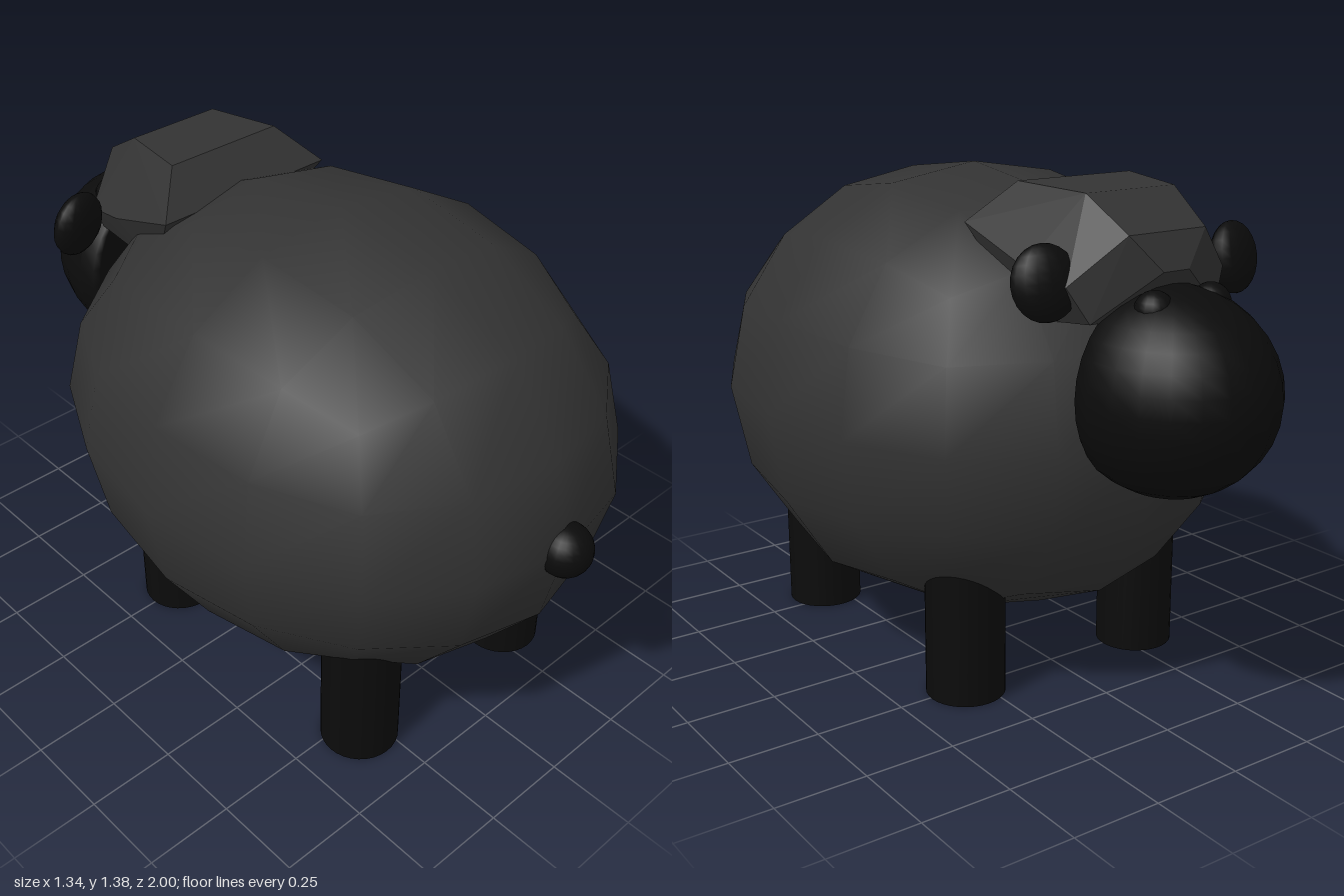
import * as THREE from 'three';
import { mergeVertices } from 'three/addons/utils/BufferGeometryUtils.js';
import { ConvexGeometry } from 'three/addons/geometries/ConvexGeometry.js';

const wool = new THREE.MeshStandardMaterial({ color: 0x333333 });
const woolFlat = new THREE.MeshStandardMaterial({ color: 0x333333, flatShading: true });
const skin = new THREE.MeshStandardMaterial({ color: 0x0b0b0b });

// Twice-subdivided cube: each grid level (0, 1, 2) from a face centre maps to a smoothed offset
const SMOOTH = {
  '002': [0, 0, 1],
  '012': [0, 0.399, 0.933],
  '022': [0, 0, 0.732],
  '112': [0, 0.371, 0.87],
  '122': [0, 0.344, 0.682],
  '222': [0, 0, 0.58],
};

function roundedCube() {
  let geo = new THREE.BoxGeometry(4, 4, 4, 4, 4, 4);
  geo.deleteAttribute('uv');
  geo.deleteAttribute('normal');
  geo = mergeVertices(geo);
  const pos = geo.attributes.position;
  for (let i = 0; i < pos.count; i++) {
    const p = [pos.getX(i), pos.getY(i), pos.getZ(i)].map(Math.round);
    const offsets = SMOOTH[p.map(Math.abs).sort().join('')];
    pos.setXYZ(i, ...p.map((v) => Math.sign(v) * offsets[Math.abs(v)]));
  }
  return geo;
}

function add(group, name, geo, mat, x, y, z) {
  const mesh = new THREE.Mesh(geo, mat);
  mesh.name = name;
  mesh.position.set(x, y, z);
  group.add(mesh);
  return mesh;
}

export function createModel() {
  const model = new THREE.Group();
  model.name = 'sheep';

  // Woolly body
  const bodyGeo = roundedCube().scale(0.67, 0.63, 0.81);
  bodyGeo.computeVertexNormals();
  add(model, 'body', bodyGeo, wool, 0, 0.75, 0.13);

  // Faceted tuft of wool above the face
  const half = [
    [0.28, 1.28, -0.24], [0.18, 1.385, -0.33], [0.14, 1.375, -0.55],
    [0.27, 1.2, -0.48], [0.25, 1.17, -0.62], [0.12, 1.29, -0.69],
    [0.04, 1.2, -0.725], [0.2, 1.08, -0.65], [0.2, 1.05, -0.4],
  ];
  const tuftPoints = half.flatMap(([x, y, z]) =>
    [new THREE.Vector3(x, y, z), new THREE.Vector3(-x, y, z)]);
  add(model, 'tuft', new ConvexGeometry(tuftPoints), woolFlat, 0, 0, 0);

  // Head: ellipsoid with its back pressed flat
  const headGeo = new THREE.SphereGeometry(1, 24, 16).scale(0.258, 0.265, 0.3);
  const hp = headGeo.attributes.position;
  for (let i = 0; i < hp.count; i++) hp.setZ(i, Math.min(hp.getZ(i), 0.055));
  headGeo.computeVertexNormals();
  add(model, 'head', headGeo, skin, -0.01, 0.9, -0.7);

  // Eyes and ears
  for (const side of [-1, 1]) {
    add(model, 'eye', new THREE.SphereGeometry(0.05, 16, 12), skin, side * 0.09 - 0.01, 1.115, -0.74);
    const ear = add(model, 'ear', new THREE.SphereGeometry(1, 16, 12), skin,
      side * 0.305 - 0.035, 1.175, -0.565);
    ear.scale.set(0.088, 0.095, 0.047);
    ear.rotation.set(0.18, -side * 0.25, 0);
  }

  // Legs
  const legGeo = new THREE.CylinderGeometry(0.109, 0.109, 0.5, 32);
  for (const [name, z] of [['frontLeg', -0.258], ['hindLeg', 0.542]]) {
    for (const side of [-1, 1]) add(model, name, legGeo, skin, side * 0.298, 0.25, z);
  }

  // Tail
  add(model, 'tail', new THREE.SphereGeometry(0.073, 20, 14), skin, 0.013, 0.742, 0.927);

  return model;
}
